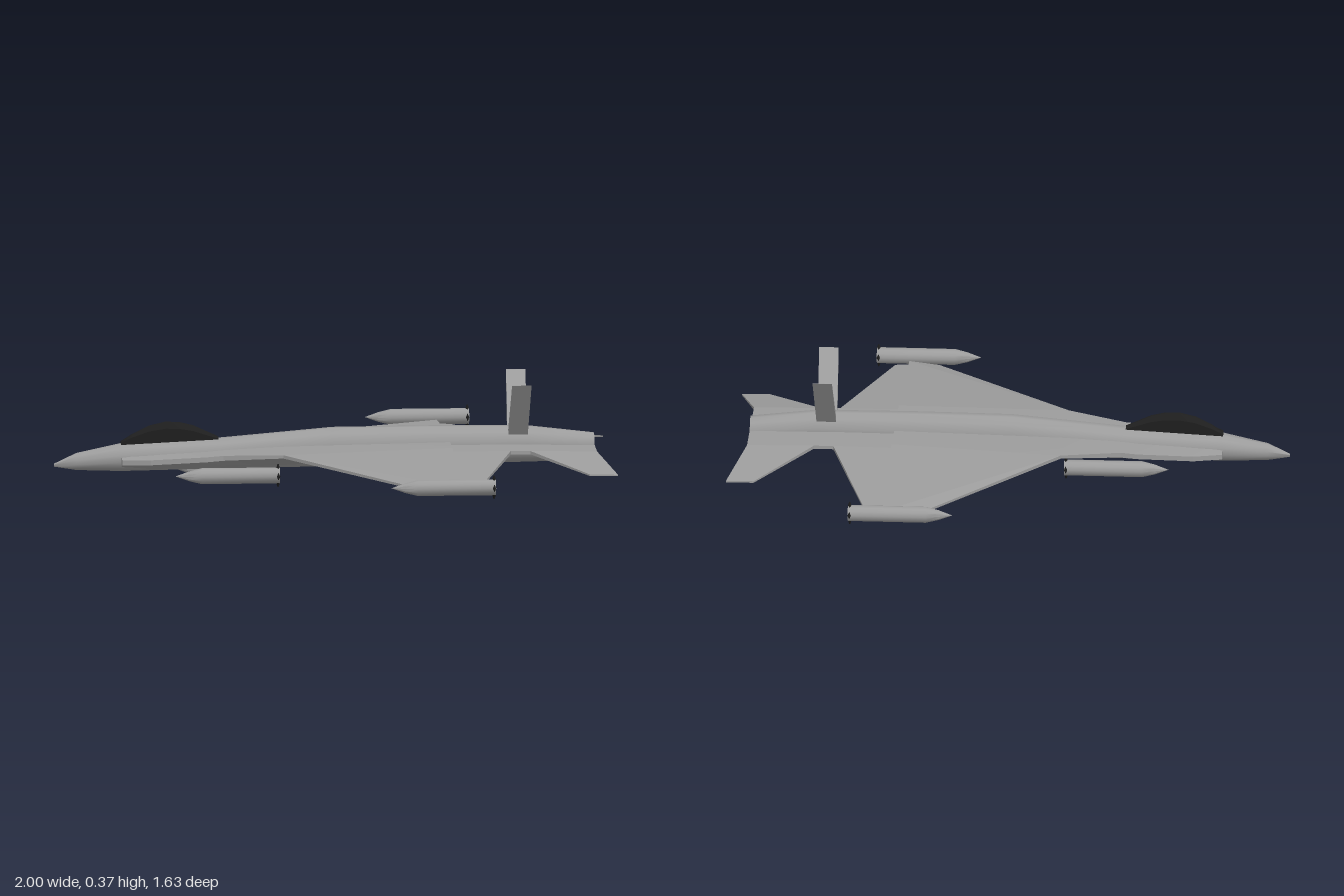
import * as THREE from 'three';
import { toCreasedNormals } from 'three/addons/utils/BufferGeometryUtils.js';

const CZ = -0.015; // centre line of the airframe
const grey = new THREE.MeshStandardMaterial({ color: 0x9c9c9c });
const dark = new THREE.MeshStandardMaterial({ color: 0x1e1e1e });

function mesh(name, geometry, material = grey) {
  const m = new THREE.Mesh(geometry, material);
  m.name = name;
  return m;
}

// Joins equal-length loops of [x, y, z] with capped ends, facing outward.
function loft(loops, crease = 0.1) {
  const n = loops[0].length, tris = [];
  for (let i = 0; i < loops.length - 1; i++)
    for (let j = 0; j < n; j++) {
      const k = (j + 1) % n, a = loops[i], b = loops[i + 1];
      tris.push([a[j], b[j], b[k]], [a[j], b[k], a[k]]);
    }
  const first = loops[0], last = loops[loops.length - 1];
  for (let j = 1; j < n - 1; j++)
    tris.push([first[0], first[j], first[j + 1]], [last[0], last[j + 1], last[j]]);
  let volume = 0;
  for (const [a, b, c] of tris)
    volume += new THREE.Vector3(...a).dot(new THREE.Vector3(...b).cross(new THREE.Vector3(...c)));
  if (volume < 0) tris.forEach(t => t.reverse());
  const g = new THREE.BufferGeometry();
  g.setAttribute('position', new THREE.Float32BufferAttribute(tris.flat(2), 3));
  return toCreasedNormals(g, crease);
}

// Oval cross-section at x.
function oval(x, top, bottom, half, n = 12) {
  return Array.from({ length: n }, (_, i) => {
    const a = ((i + 0.5) / n) * Math.PI * 2, f = 1 / Math.cos(Math.PI / n);
    return [x, (top + bottom) / 2 + Math.sin(a) * f * (top - bottom) / 2, CZ + Math.cos(a) * f * half];
  });
}

// Thin panel: each row is front x, z, top, bottom, then rear x, z, top, bottom.
function panel(side, rows) {
  return loft(rows.map(([xa, za, ta, ba, xb, zb, tb, bb]) => {
    const wa = CZ + side * za, wb = CZ + side * zb;
    return [[xa, ta, wa], [xb, tb, wb], [xb, bb, wb], [xa, ba, wa]];
  }));
}

// Body shoulder: each row is x, half width, edge top, edge bottom, inner top, middle bottom, inner bottom.
function shoulder(side, rows) {
  return loft(rows.map(([x, w, et, eb, it, mb, ib]) =>
    [[0.02, it], [w, et], [w, eb], [w * 0.5, mb], [0.03, ib]].map(([z, y]) => [x, y, CZ + side * z])));
}

// Pointed store with a hollow tail and four small pointed fins; origin at its rear end.
function store(name) {
  const g = new THREE.Group();
  g.name = name;
  const profile = [[0, -0.375], [0.018, -0.325], [0.029, -0.28], [0.029, 0], [0.021, 0], [0.017, -0.1], [0, -0.1]]
    .map(p => new THREE.Vector2(...p));
  const body = new THREE.LatheGeometry(profile, 12).rotateZ(-Math.PI / 2);
  g.add(mesh('storeBody', toCreasedNormals(body, 0.6)));
  for (let i = 0; i < 4; i++) {
    const fin = new THREE.CylinderGeometry(0.004, 0.014, 0.016, 4, 1).scale(0.5, 1, 1)
      .translate(-0.006, 0.034, 0).rotateX(i * Math.PI / 2);
    g.add(mesh('storeFin', toCreasedNormals(fin, 0.1), dark));
  }
  return g;
}

export function createModel() {
  const model = new THREE.Group();
  model.name = 'jetAircraft';

  // Fuselage, ending in a recessed nozzle
  model.add(mesh('fuselage', loft([
    oval(-1, 0.083, 0.072, 0.004), oval(-0.92, 0.12, 0.06, 0.025),
    oval(-0.76, 0.153, 0.056, 0.053), oval(-0.4, 0.17, 0.062, 0.055),
    oval(0, 0.204, 0.066, 0.055), oval(0.35, 0.206, 0.07, 0.055),
    oval(0.7, 0.203, 0.075, 0.052), oval(0.94, 0.175, 0.08, 0.045),
    oval(0.94, 0.163, 0.092, 0.035), oval(0.82, 0.16, 0.095, 0.032),
  ], 0.95)));

  // Canopy: narrow ridge over the forward fuselage
  const ridge = [[-0.76, 0.16], [-0.72, 0.187], [-0.66, 0.217], [-0.6, 0.231], [-0.55, 0.229], [-0.5, 0.217], [-0.45, 0.194], [-0.41, 0.176]];
  model.add(mesh('canopy', loft(ridge.map(([x, y]) => {
    const side = 0.157 + (y - 0.157) * 0.7;
    return [[x, 0.13, CZ - 0.018], [x, side, CZ - 0.018], [x, y, CZ - 0.004],
      [x, y, CZ + 0.004], [x, side, CZ + 0.018], [x, 0.13, CZ + 0.018]];
  }), 0.5), dark));

  for (const s of [1, -1]) {
    const label = s > 0 ? 'left' : 'right';
    const tip = 0.74 + s * 0.015;

    // Leading strake and wing root, up to the step in the wing
    model.add(mesh(label + 'Strake', shoulder(s, [
      [-0.76, 0.085, 0.106, 0.088, 0.115, 0.075, 0.065], [-0.66, 0.125, 0.112, 0.094, 0.12, 0.076, 0.065],
      [-0.46, 0.15, 0.125, 0.107, 0.13, 0.079, 0.066], [-0.4, 0.15, 0.13, 0.112, 0.135, 0.081, 0.068],
      [-0.19, 0.222, 0.142, 0.13, 0.145, 0.092, 0.074], [0.42, 0.19, 0.157, 0.132, 0.155, 0.118, 0.1],
    ])));
    // Lower rear deck behind the step
    model.add(mesh(label + 'RearDeck', shoulder(s, [
      [0.42, 0.19, 0.143, 0.132, 0.145, 0.118, 0.1], [0.63, 0.185, 0.143, 0.13, 0.145, 0.12, 0.108],
      [0.7, 0.185, 0.142, 0.13, 0.143, 0.121, 0.11], [0.94, 0.185, 0.138, 0.128, 0.138, 0.122, 0.115],
    ])));

    // Drooping wing with a thinner flap behind the step
    model.add(mesh(label + 'Wing', panel(s, [
      [-0.19, 0.222, 0.142, 0.13, 0.42, 0.19, 0.157, 0.132],
      [0.31, tip, 0.094, 0.086, 0.42, tip, 0.107, 0.085],
    ])));
    model.add(mesh(label + 'Flap', panel(s, [
      [0.42, 0.19, 0.143, 0.132, 0.63, 0.185, 0.143, 0.13],
      [0.42, tip, 0.093, 0.085, 0.47, tip, 0.091, 0.085],
    ])));

    // Horizontal tail
    model.add(mesh(label + 'Tailplane', panel(s, [
      [0.7, 0.185, 0.142, 0.13, 0.94, 0.185, 0.138, 0.128],
      [0.9, 0.428, 0.095, 0.089, 1, 0.428, 0.093, 0.088],
    ])));

    // Canted tail fin, a wedge narrowing to its tip
    const fin = [[0.63, 0.7, 0.178, 0.012, 0.041], [0.635, 0.705, 0.379, 0.178, 0.181]];
    model.add(mesh(label + 'TailFin', loft(fin.map(([xa, xb, y, zi, zo]) =>
      [[xa, y, CZ + s * zi], [xb, y, CZ + s * zi], [xb, y, CZ + s * zo], [xa, y, CZ + s * zo]]))));

    // Wing tip and belly stores
    const pod = store(label + 'TipPod');
    pod.position.set(0.538, 0.113, s * 0.775);
    const belly = store(label + 'BellyStore');
    belly.position.set(-0.195, 0.048, CZ + s * 0.097);
    model.add(pod, belly);
  }
  return model;
}
